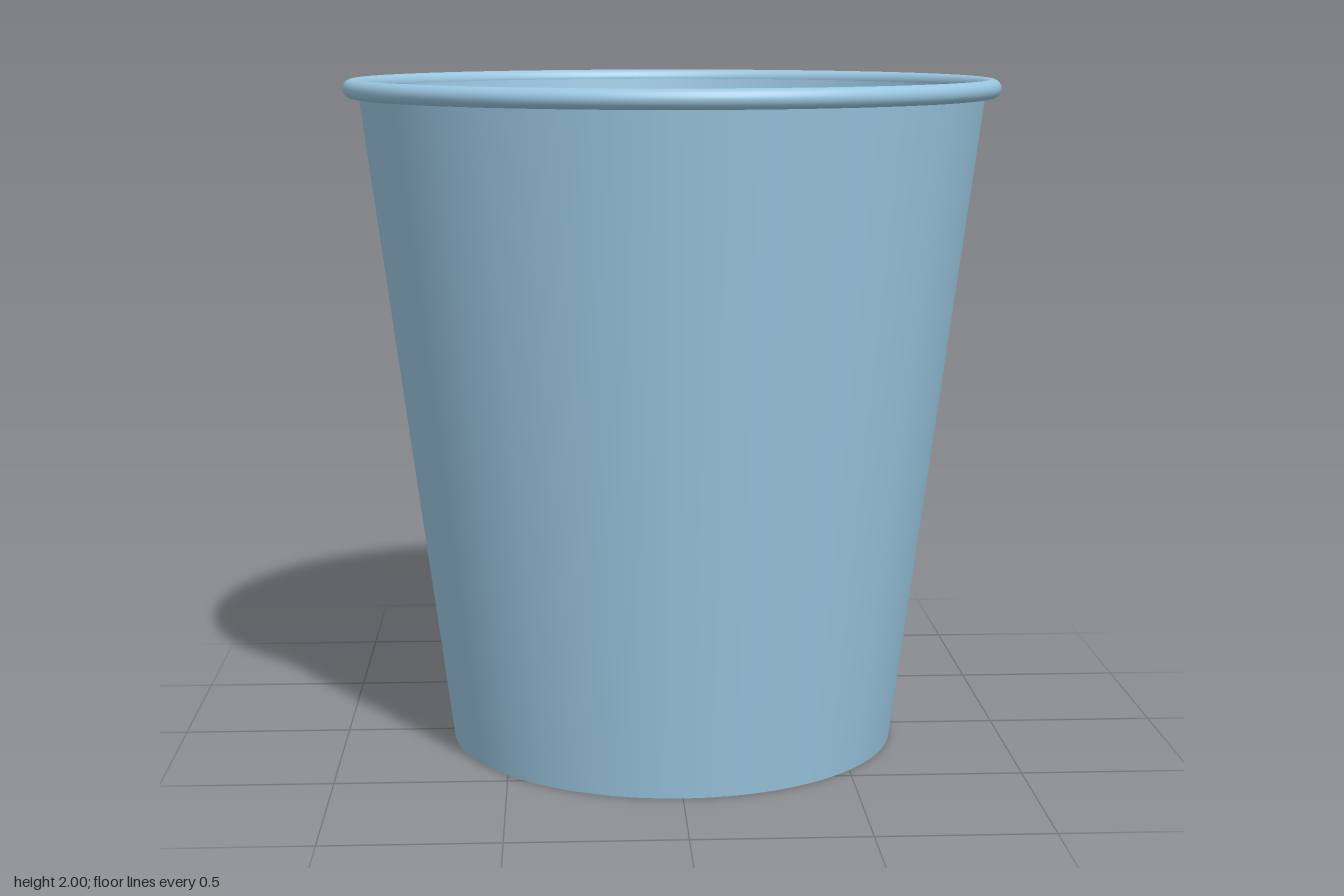
import * as THREE from 'three';

const SEGMENTS = 128;

export function createModel() {
  const cup = new THREE.Group();
  cup.name = 'cup';
  const material = new THREE.MeshStandardMaterial({ color: 0x9ac6e0 });

  const add = (name, geometry, y = 0) => {
    const mesh = new THREE.Mesh(geometry, material);
    mesh.name = name;
    mesh.position.y = y;
    cup.add(mesh);
    return mesh;
  };

  // Tapered thin wall: outer and inner skins with a flat foot edge
  const height = 1.97, bottomRadius = 0.673, topRadius = 0.926, thickness = 0.012;
  const radiusAt = (y) => bottomRadius + (topRadius - bottomRadius) * (y / height);
  const skin = (from, to) =>
    new THREE.LatheGeometry([from, to].map(([r, y]) => new THREE.Vector2(r, y)), SEGMENTS);
  add('outerWall', skin([bottomRadius, 0], [topRadius, height]));
  add('innerWall', skin([topRadius - thickness, height], [bottomRadius - thickness, 0]));
  add('footEdge', skin([bottomRadius - thickness, 0], [bottomRadius, 0]));

  // Floor raised above the foot, leaving a recess below
  const floorY = 0.16, floorThickness = 0.012;
  const floorRadius = radiusAt(floorY) - thickness / 2;
  add('floor', new THREE.CylinderGeometry(floorRadius, floorRadius, floorThickness, SEGMENTS), floorY);

  // Rolled lip
  const lipRadius = 0.0275;
  const lip = new THREE.TorusGeometry(0.9425, lipRadius, 20, SEGMENTS);
  lip.rotateX(-Math.PI / 2);
  add('rolledRim', lip, 2 - lipRadius);

  return cup;
}
